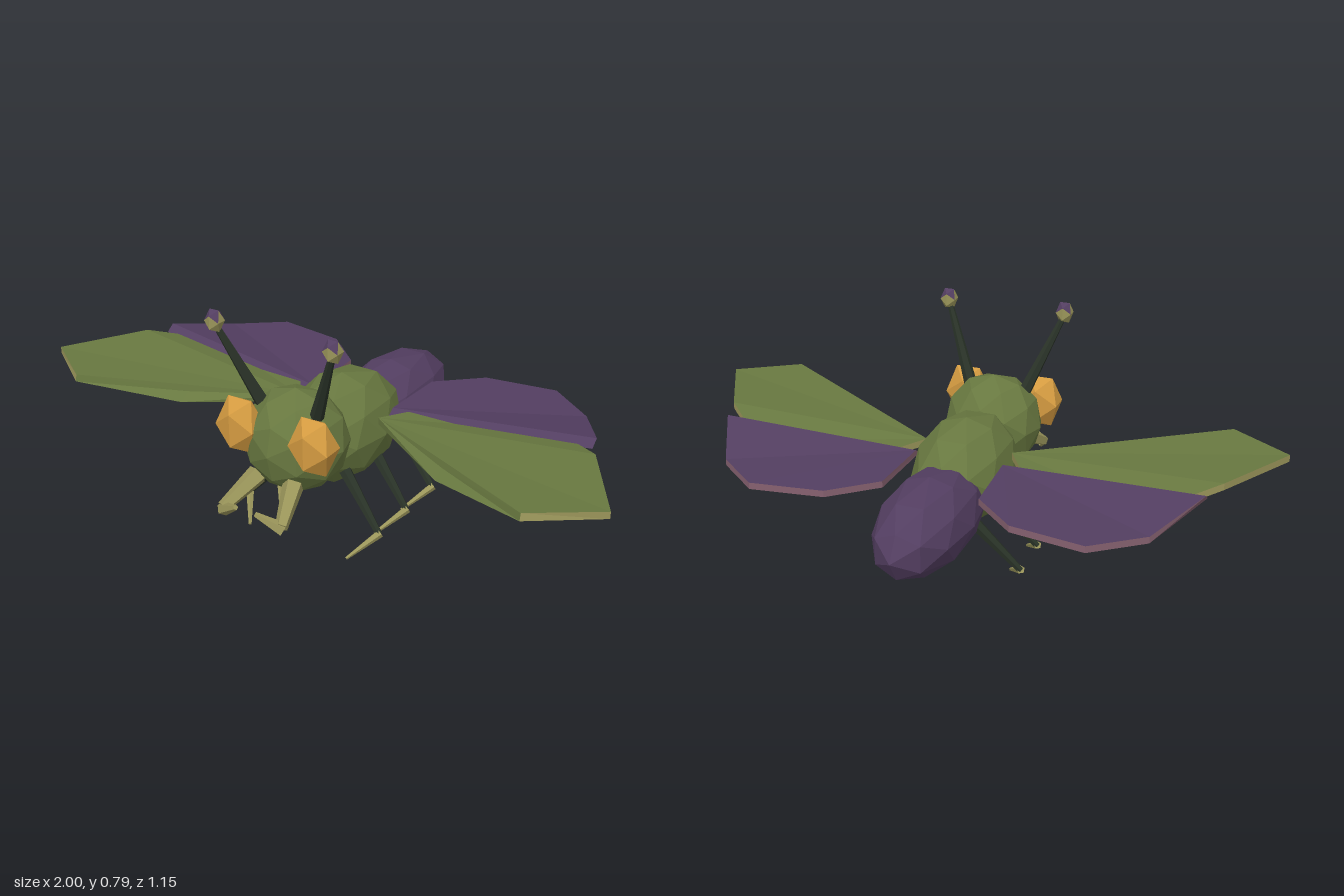
import * as THREE from 'three';

const mat = (name, color) => {
  const m = new THREE.MeshStandardMaterial({ color, flatShading: true });
  m.name = name;
  return m;
};

export function createModel() {
  const green = mat('mossGreen', 0x687840);
  const purple = mat('plumPurple', 0x533e61);
  const khaki = mat('khaki', 0x9a955a);
  const dark = mat('darkLimb', 0x2a3328);
  const orange = mat('amberEye', 0xd39a40);
  const pink = mat('duskyPink', 0x85606f);

  const model = new THREE.Group();
  model.name = 'insect';

  const add = (name, geo, material, parent = model) => {
    const mesh = new THREE.Mesh(geo, material);
    mesh.name = name;
    parent.add(mesh);
    return mesh;
  };

  // faceted ellipsoid
  const blob = (radii, center, detail) => {
    const g = new THREE.IcosahedronGeometry(1, detail);
    g.scale(...radii).translate(...center);
    g.computeVertexNormals();
    return g;
  };

  // tapered rod between two points
  const rod = (a, b, r0, r1, sides) => {
    const p = new THREE.Vector3(...a), q = new THREE.Vector3(...b);
    const dir = q.clone().sub(p);
    const g = new THREE.CylinderGeometry(r1, r0, dir.length(), sides);
    g.applyQuaternion(new THREE.Quaternion().setFromUnitVectors(
      new THREE.Vector3(0, 1, 0), dir.normalize()));
    return g.translate(...p.add(q).multiplyScalar(0.5).toArray());
  };

  // wing plate: points are [x, y, z, forward shift of the lower edge];
  // groups are 0 top, 1 rim, 2 underside
  const plate = (points, s, thickness, leading) => {
    const top = points.map(([x, y, z]) => [s * x, y, z]);
    const low = points.map(([x, y, z, dz]) => [s * x, y - thickness, z + dz]);
    const n = points.length, parts = [[], [], []];
    const tri = (k, a, b, c) => parts[k].push(...(s > 0 ? [a, b, c] : [a, c, b]));
    for (let i = 1; i < n - 1; i++) {
      tri(0, top[0], top[i], top[i + 1]);
      tri(2, low[0], low[i + 1], low[i]);
    }
    for (let i = 0; i < n; i++) {
      const j = (i + 1) % n, k = i < leading ? 0 : 1;
      tri(k, top[i], low[i], low[j]);
      tri(k, top[i], low[j], top[j]);
    }
    const g = new THREE.BufferGeometry();
    g.setAttribute('position', new THREE.Float32BufferAttribute(parts.flat(2), 3));
    let start = 0;
    parts.forEach((p, k) => { g.addGroup(start, p.length, k); start += p.length; });
    g.computeVertexNormals();
    return g;
  };

  // body
  add('head', blob([0.17, 0.169, 0.157], [0, 0.377, 0.295], 1), green);
  add('thorax', blob([0.165, 0.179, 0.255], [0, 0.315, 0.037], 1), green);
  add('abdomen', blob([0.146, 0.143, 0.305], [0, 0.278, -0.27], 1), purple);

  const foreWing = [
    [0.15, 0.383, 0.06, 0], [0.47, 0.385, 0.235, 0.04], [0.8, 0.43, 0.405, 0.005],
    [1, 0.43, 0.27, 0], [0.845, 0.43, -0.003, 0], [0.66, 0.38, -0.16, 0],
    [0.22, 0.38, -0.05, 0],
  ];
  const hindWing = [
    [0.15, 0.38, -0.03, 0.03], [0.81, 0.428, -0.1, 0.03], [0.695, 0.377, -0.31, 0],
    [0.54, 0.377, -0.43, 0], [0.3, 0.377, -0.395, 0], [0.16, 0.377, -0.27, 0],
  ];

  for (const s of [1, -1]) {
    const side = new THREE.Group();
    side.name = s > 0 ? 'leftSide' : 'rightSide';
    model.add(side);

    // wings
    add('foreWing', plate(foreWing, s, 0.023, 2), [green, khaki, dark], side);
    add('hindWing', plate(hindWing, s, 0.022, 1), [purple, pink, purple], side);

    // eye
    add('eye', blob([0.081, 0.103, 0.068], [s * 0.133, 0.431, 0.398], 0), orange, side);

    // antenna with a two-coloured knob
    add('antenna', rod([s * 0.1, 0.49, 0.332], [s * 0.203, 0.74, 0.404], 0.022, 0.01, 6), dark, side);
    const knob = blob([0.031, 0.04, 0.031], [s * 0.207, 0.758, 0.406], 0);
    const normals = knob.getAttribute('normal');
    for (let i = 0; i < normals.count; i += 3) knob.addGroup(i, 3, normals.getY(i) > 0.42 ? 1 : 0);
    add('antennaKnob', knob, [khaki, purple], side);

    // mandible
    add('mandibleBase', rod([s * 0.065, 0.285, 0.41], [s * 0.107, 0.217, 0.535], 0.034, 0.02, 5), khaki, side);
    add('mandibleTip', rod([s * 0.11, 0.208, 0.53], [s * 0.035, 0.255, 0.565], 0.022, 0.008, 5), khaki, side);

    // legs
    for (const [i, name] of ['frontLeg', 'middleLeg', 'rearLeg'].entries()) {
      const leg = new THREE.Group();
      leg.name = name;
      side.add(leg);
      const z = 0.21 - i * 0.17;
      add('thigh', rod([s * 0.1, 0.235, z - 0.033], [s * 0.25, 0.068, z + 0.004], 0.021, 0.011, 6), dark, leg);
      add('shin', rod([s * 0.252, 0.072, z], [s * 0.185, 0.007, z + 0.095], 0.014, 0.005, 5), khaki, leg);
    }
  }
  return model;
}
